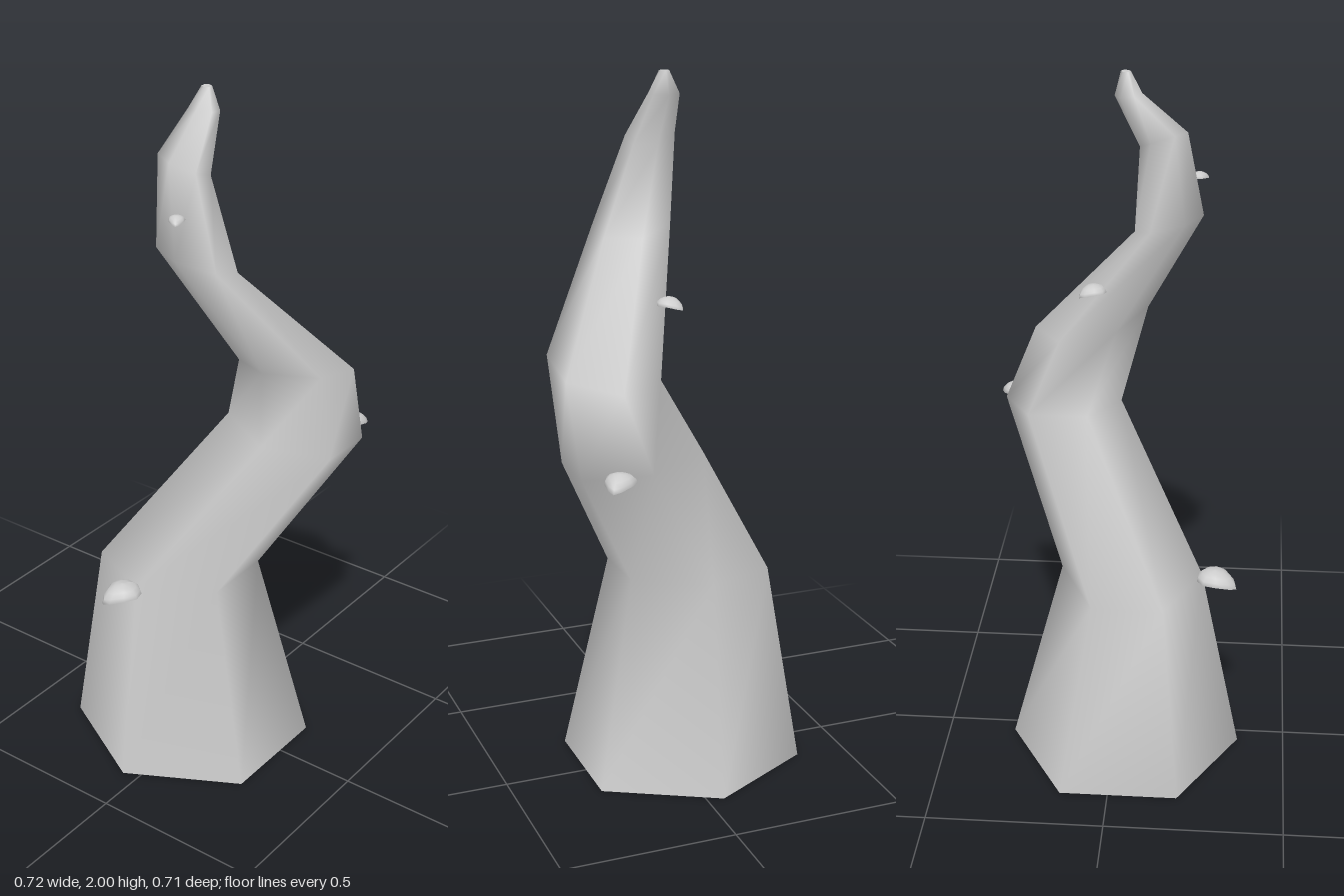
import * as THREE from 'three';

const SIDES = 6;

// Trunk sections: centre x, y, z, radii in x and z, slope of the section along x and z
const SECTIONS = [
  [-0.03, 0, -0.048, 0.334, 0.355, 0, 0],
  [-0.05, 0.58, -0.077, 0.2, 0.243, 0.025, 0.05],
  [0.167, 1.0, 0.172, 0.167, 0.198, 0, -0.12],
  [0.09, 1.235, 0.223, 0.162, 0.154, -0.22, 0.08],
  [-0.137, 1.575, 0.058, 0.093, 0.112, -0.27, -0.15],
  [-0.123, 1.82, 0.008, 0.063, 0.07, -0.32, -0.25],
  [-0.03, 1.94, 0.002, 0.036, 0.043, -0.1, 0],
  [-0.023, 2.0, 0.005, 0.013, 0.014, 0, 0],
];

// Small shells on the trunk: x, y, z, size, heading of the tip (x, z)
const SHELLS = [
  [-0.287, 0.57, -0.095, 0.053, -1, -0.4],
  [0.312, 0.983, 0.259, 0.046, 1, 0.75],
  [0.066, 1.385, 0.026, 0.036, 1, -0.7],
  [-0.217, 1.708, 0.055, 0.023, -1, 0.6],
];

function sectionPoints([cx, cy, cz, rx, rz, slopeX, slopeZ]) {
  const points = [];
  for (let i = 0; i < SIDES; i++) {
    const a = (i / SIDES) * Math.PI * 2;
    const dx = Math.cos(a) * rx;
    const dz = Math.sin(a) * rz;
    points.push(cx + dx, cy + slopeX * dx + slopeZ * dz, cz + dz);
  }
  return points;
}

function buildGeometry(positions, index) {
  const geo = new THREE.BufferGeometry();
  geo.setAttribute('position', new THREE.Float32BufferAttribute(positions, 3));
  geo.setIndex(index);
  geo.computeVertexNormals();
  return geo;
}

// Six-sided skin joining neighbouring sections, smooth all round
function trunkGeometry() {
  const index = [];
  for (let r = 0; r < SECTIONS.length - 1; r++) {
    for (let i = 0; i < SIDES; i++) {
      const j = (i + 1) % SIDES;
      const a = r * SIDES + i, b = r * SIDES + j;
      const c = a + SIDES, d = b + SIDES;
      index.push(a, c, b, b, c, d);
    }
  }
  return buildGeometry(SECTIONS.flatMap(sectionPoints), index);
}

// Flat end cover with its own normals
function capGeometry(section, facesUp) {
  const index = [];
  for (let i = 1; i < SIDES - 1; i++) {
    index.push(0, ...(facesUp ? [i + 1, i] : [i, i + 1]));
  }
  return buildGeometry(sectionPoints(section), index);
}

// Domed teardrop with a hollow underside and a drooping tip towards +x
function shellGeometry() {
  const geo = new THREE.SphereGeometry(1, 10, 8);
  const p = geo.attributes.position;
  for (let i = 0; i < p.count; i++) {
    const x = p.getX(i), y = p.getY(i), z = p.getZ(i);
    const out = Math.max(x, 0);
    p.setXYZ(i, x + 0.25 * out, (y < 0 ? -0.3 * y : 0.6 * y) - 0.3 * out * out, z * (1 - 0.45 * out));
  }
  geo.computeVertexNormals();
  return geo;
}

export function createModel() {
  const group = new THREE.Group();
  group.name = 'twistedTrunk';
  const material = new THREE.MeshStandardMaterial({ color: 0xcccccc });

  const add = (name, geometry) => {
    const mesh = new THREE.Mesh(geometry, material);
    mesh.name = name;
    group.add(mesh);
    return mesh;
  };

  add('trunk', trunkGeometry());
  add('baseCap', capGeometry(SECTIONS[0], false));
  add('tipCap', capGeometry(SECTIONS[SECTIONS.length - 1], true));

  // Shells point outwards from the trunk
  const shell = shellGeometry();
  SHELLS.forEach(([x, y, z, size, hx, hz], i) => {
    const mesh = add(`shell${i + 1}`, shell);
    mesh.position.set(x, y, z);
    mesh.scale.setScalar(size);
    mesh.rotation.y = Math.atan2(-hz, hx);
  });

  return group;
}
